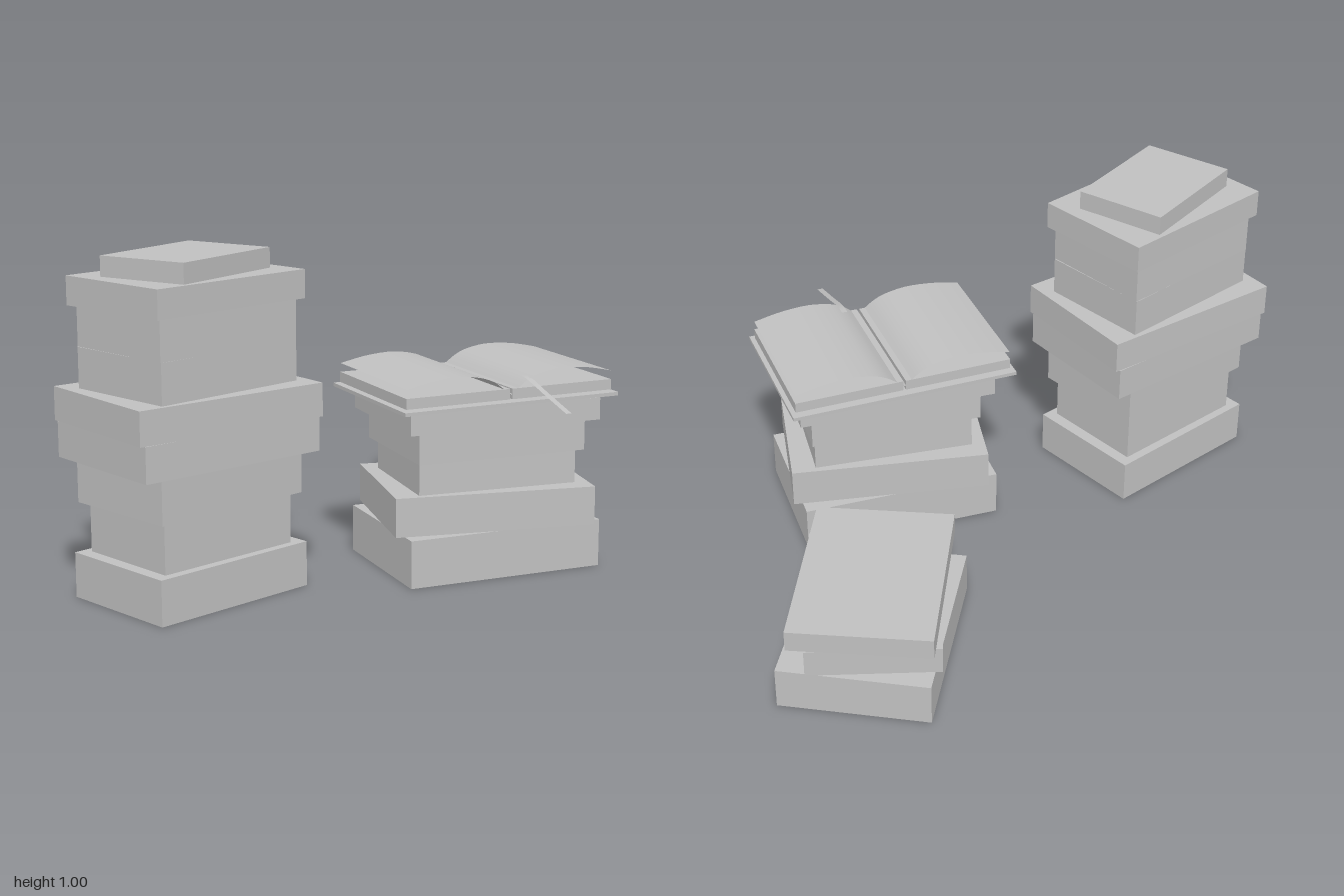
import * as THREE from 'three';

export function createModel() {
  const model = new THREE.Group();
  model.name = 'bookStacks';
  const grey = new THREE.MeshStandardMaterial({ color: 0xc0c0c0, side: THREE.DoubleSide });
  grey.name = 'plain grey';

  function add(parent, name, geometry, x = 0, y = 0, z = 0) {
    const mesh = new THREE.Mesh(geometry, grey);
    mesh.name = name;
    mesh.position.set(x, y, z);
    parent.add(mesh);
    return mesh;
  }

  // A stack of closed books; each entry is [top height, width, depth, turn]
  function addStack(name, x, z, books) {
    const stack = new THREE.Group();
    stack.name = name;
    stack.position.set(x, 0, z);
    let base = 0;
    books.forEach(([top, w, d, turn], i) => {
      const book = add(stack, `book${i + 1}`, new THREE.BoxGeometry(w, top - base, d), 0, (top + base) / 2, 0);
      book.rotation.y = turn;
      base = top;
    });
    model.add(stack);
  }

  addStack('tallStack', -0.686, 0.004, [
    [0.135, 0.55, 0.394, 0.1],
    [0.285, 0.472, 0.339, 0.094],
    [0.415, 0.527, 0.379, 0.108],
    [0.52, 0.612, 0.438, 0.033],
    [0.62, 0.625, 0.45, 0],
    [0.74, 0.508, 0.365, 0.118],
    [0.86, 0.505, 0.367, 0.107],
    [0.945, 0.553, 0.395, 0.123],
    [1.005, 0.406, 0.293, 0.322],
  ]);
  addStack('middleStack', 0.185, 0.277, [
    [0.146, 0.63, 0.449, -0.29],
    [0.265, 0.622, 0.45, -0.449],
    [0.365, 0.505, 0.368, -0.358],
    [0.46, 0.545, 0.397, -0.31],
    [0.528, 0.622, 0.443, -0.307],
  ]);
  addStack('shortStack', 0.627, -0.359, [
    [0.13, 0.6, 0.45, 0.795],
    [0.215, 0.545, 0.39, 0.998],
    [0.28, 0.581, 0.42, 0.867],
  ]);

  // Open book lying on the middle stack
  const openBook = new THREE.Group();
  openBook.name = 'openBook';
  openBook.position.set(0.187, 0, 0.267);
  openBook.rotation.y = -0.247;
  model.add(openBook);

  // Arched page profile from the spine outwards
  const arch = new THREE.SplineCurve([
    [0, 0.558], [0.03, 0.582], [0.06, 0.602], [0.1, 0.617],
    [0.17, 0.627], [0.26, 0.621], [0.345, 0.604],
  ].map(([x, y]) => new THREE.Vector2(x, y)));

  // Sheet swept from a curve: across the curve (x, y) and along z
  function archedSheet(side, depth) {
    const geo = new THREE.PlaneGeometry(1, depth, 20, 1).rotateX(-Math.PI / 2);
    const pos = geo.attributes.position;
    for (let i = 0; i < pos.count; i++) {
      const u = pos.getX(i) + 0.5;
      const p = arch.getPoint(side > 0 ? u : 1 - u);
      pos.setXY(i, side * p.x, p.y);
    }
    geo.computeVertexNormals();
    return geo;
  }

  for (const [label, side] of [['left', 1], ['right', -1]]) {
    add(openBook, `${label}Cover`, new THREE.BoxGeometry(0.359, 0.011, 0.502), side * 0.181, 0.5345, 0);
    add(openBook, `${label}PageBlock`, new THREE.BoxGeometry(0.343, 0.032, 0.46), side * 0.1755, 0.561, 0);
    add(openBook, `${label}Page`, archedSheet(side, 0.46));
  }
  add(openBook, 'spine', new THREE.BoxGeometry(0.02, 0.011, 0.502), 0, 0.5345, 0);

  // Bookmark ribbon hanging out past the front of the pages
  const drop = new THREE.SplineCurve([
    [0.18, 0.606], [0.23, 0.603], [0.33, 0.575], [0.458, 0.541],
  ].map(([z, y]) => new THREE.Vector2(z, y)));
  const ribbon = new THREE.PlaneGeometry(0.018, 1, 1, 10).rotateX(-Math.PI / 2);
  const rp = ribbon.attributes.position;
  for (let i = 0; i < rp.count; i++) {
    const p = drop.getPoint(rp.getZ(i) + 0.5);
    rp.setY(i, p.y);
    rp.setZ(i, p.x);
  }
  ribbon.computeVertexNormals();
  add(openBook, 'bookmarkRibbon', ribbon, 0.06, 0, 0);

  return model;
}
